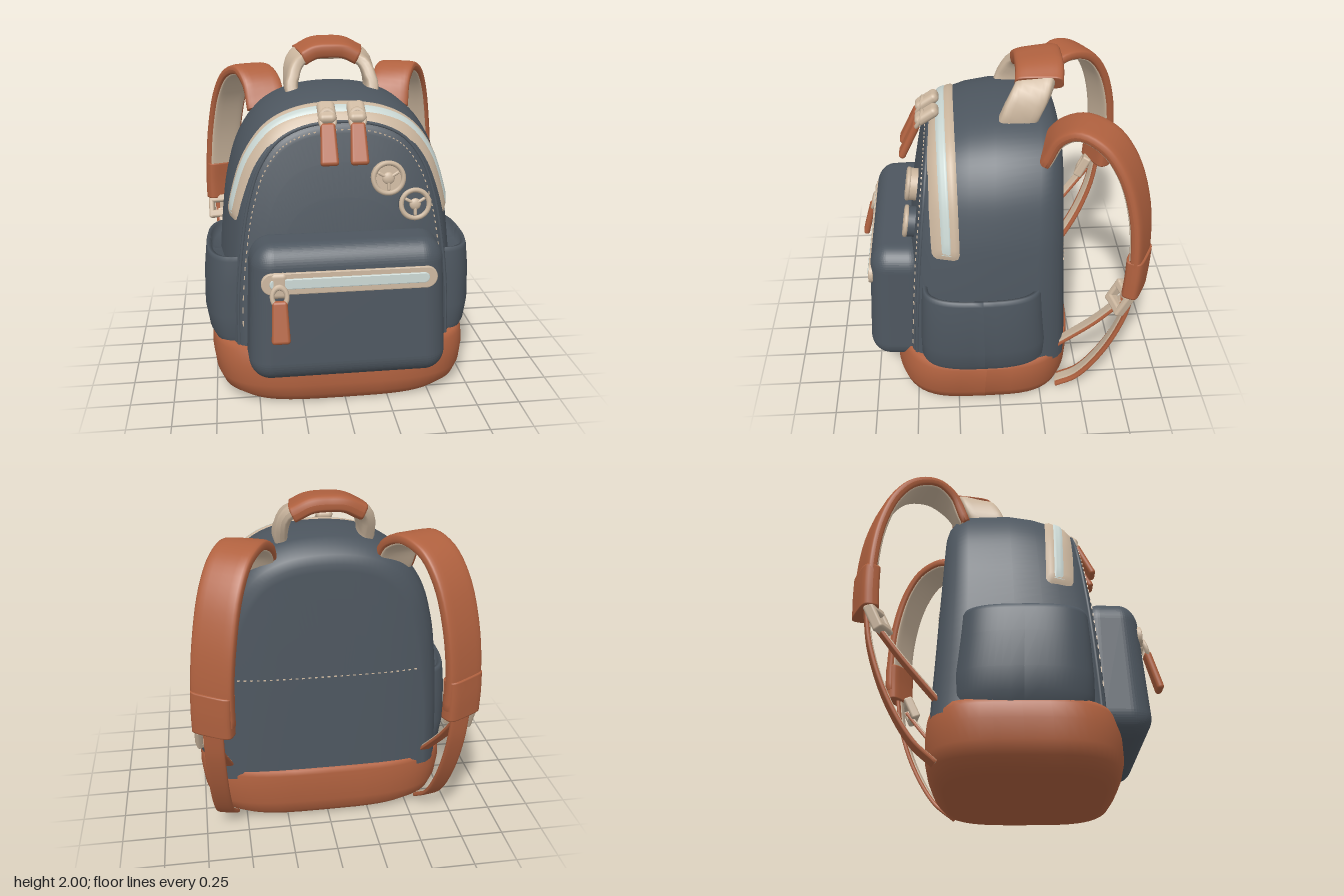
import * as THREE from 'three';
import { mergeGeometries } from 'three/addons/utils/BufferGeometryUtils.js';
import { RoundedBoxGeometry } from 'three/addons/geometries/RoundedBoxGeometry.js';

const V3 = (x, y, z) => new THREE.Vector3(x, y, z);
const mat = (name, color) => Object.assign(new THREE.MeshStandardMaterial({ color, side: THREE.DoubleSide }), { name });
const { lerp, clamp } = THREE.MathUtils;

// Smooth surface from a function fn(u, v) -> Vector3 on a regular grid
function grid(nu, nv, fn) {
  const pos = [], idx = [];
  for (let j = 0; j <= nv; j++) for (let i = 0; i <= nu; i++) pos.push(...fn(i / nu, j / nv).toArray());
  for (let j = 0; j < nv; j++) for (let i = 0; i < nu; i++) {
    const a = j * (nu + 1) + i, b = a + nu + 1;
    idx.push(a, a + 1, b, b, a + 1, b + 1);
  }
  const g = new THREE.BufferGeometry();
  g.setAttribute('position', new THREE.Float32BufferAttribute(pos, 3));
  g.setIndex(idx);
  g.computeVertexNormals();
  return g;
}

// Point on a superellipse, angle given in turns
function superPoint(t, n) {
  const a = t * Math.PI * 2, f = (c) => Math.sign(c) * Math.abs(c) ** (2 / n);
  return [f(Math.cos(a)), f(Math.sin(a))];
}

// Stack of horizontal rings [y, x centre, x half, z back, z front]
function rings(list, n) {
  return grid(64, list.length - 1, (u, v) => {
    const [y, cx, hx, zb, zf] = list[Math.round(v * (list.length - 1))];
    const [a, b] = superPoint(-u, n);
    return V3(cx + a * hx, y, (zb + zf) / 2 + b * (zf - zb) / 2);
  });
}

// Padded band swept along a path; its width direction turns from side to sideEnd
function ribbon(points, side, width, thick, offset = 0, sideEnd = side) {
  const path = new THREE.CatmullRomCurve3(points.map((p) => V3(...p)));
  const steps = 32;
  return grid(24, steps + 4, (u, v) => {
    const j = Math.round(v * (steps + 4));
    const k = j === 0 || j === steps + 4 ? 0 : j === 1 || j === steps + 3 ? 0.9 : 1;
    const t = clamp((j - 2) / steps, 0, 1);
    const T = path.getTangent(t);
    const dir = V3(...side).lerp(V3(...sideEnd), Math.min(1, t * 2.5));
    const W = dir.addScaledVector(T, -dir.dot(T)).normalize();
    const N = T.clone().cross(W);
    const [a, b] = superPoint(u, 4);
    return path.getPoint(t).addScaledVector(W, a * width / 2 * k).addScaledVector(N, offset + b * thick / 2 * k);
  });
}

// Body: arch outline, inset by a rounded profile from back (s = 0) to front (s = 1)
const half = [[0.71, 0.3], [0.7, 0.7], [0.675, 1], [0.64, 1.22], [0.57, 1.44], [0.44, 1.62], [0.25, 1.72]];
const arch = new THREE.SplineCurve([...half, [0, 1.75], ...half.map(([x, y]) => [-x, y]).reverse()]
  .map(([x, y]) => new THREE.Vector2(x, y)));
const inset = [[0, 0.13], [0.02, 0.08], [0.07, 0.035], [0.16, 0.005], [0.5, 0], [0.7, 0.022], [0.82, 0.05], [0.92, 0.085], [0.97, 0.115], [1, 0.155]];
const zBack = (x, y) => -0.44 + 0.05 * y + 0.06 * (x / 0.65) ** 4;
const zFront = (x, y) => 0.58 - 0.075 * y * y - 0.085 * (x / 0.65) ** 4;
function insetAt(s) {
  const i = Math.max(1, inset.findIndex((p) => p[0] >= s));
  const [a, b] = [inset[i - 1], inset[i]];
  return lerp(a[1], b[1], (s - a[0]) / (b[0] - a[0]));
}
function bodyPoint(u, s, lift = 0, k = 1) {
  const p = arch.getPoint(u), t = arch.getTangent(u);
  const d = lift - insetAt(s) * lerp(0.75, 1, clamp((p.y - 0.6) / 1.1, 0, 1));
  const x = (p.x + t.y * d) * k, y = 0.3 + (p.y - t.x * d - 0.3) * k;
  return V3(x, y, lerp(zBack(x, y), zFront(x, y), s));
}

export function createModel() {
  const model = new THREE.Group();
  model.name = 'backpack';
  const navy = mat('navy fabric', 0x4d565f), tan = mat('tan leather', 0xb0613f);
  const cream = mat('cream trim', 0xcbb69e), pale = mat('pale zip teeth', 0xc9d6d2);
  const add = (name, geo, material, parent = model) => {
    const m = new THREE.Mesh(geo, material);
    m.name = name;
    parent.add(m);
    return m;
  };

  // Main bag with closed front and back panels
  const cap = [0, 0.25, 0.5, 0.7, 0.85, 0.97];
  const levels = [...cap.map((k) => [0, k]), ...inset.map(([s]) => [s, 1]), ...cap.map((k) => [1, k]).reverse()];
  add('body', grid(80, levels.length - 1, (u, v) => {
    const [s, k] = levels[Math.round(v * (levels.length - 1))];
    return bodyPoint(u, s, 0, k);
  }), navy);
  const edge = Array.from({ length: 41 }, (_, i) => bodyPoint(i / 40, 0.985));
  add('frontPiping', new THREE.TubeGeometry(new THREE.CatmullRomCurve3(edge), 80, 0.01, 8), navy);

  // Leather base
  add('base', rings([[0, 0, 0, 0.1, 0.1], [0, 0, 0.58, -0.35, 0.54], [0.015, 0, 0.65, -0.39, 0.59], [0.06, 0, 0.72, -0.43, 0.62],
    [0.13, 0, 0.75, -0.445, 0.635], [0.24, 0, 0.765, -0.45, 0.63], [0.32, 0, 0.76, -0.445, 0.61],
    [0.35, 0, 0.745, -0.44, 0.595], [0.355, 0, 0.66, -0.38, 0.52], [0.34, 0, 0, 0.1, 0.1]], 3.6), tan);

  // Arched zip: trim band and teeth laid over the body
  const archBand = (u0, z0, z1, rise, lift) => grid(70, 8, (u, v) => {
    const U = lerp(u0, 1 - u0, u), p = arch.getPoint(U), x = p.x * 0.93, y = p.y - 0.06;
    const end = Math.min(1, 40 * u * (1 - u));
    const s = (lerp(z0, z1, v) - zBack(x, y)) / (zFront(x, y) - zBack(x, y));
    return bodyPoint(U, Math.min(s, 0.99), lerp(rise, lift, Math.min(1, 6 * v * (1 - v)) * end));
  });
  add('archZipTrim', archBand(0.155, 0.22, 0.385, -0.01, 0.016), cream);
  add('archZipTeeth', archBand(0.172, 0.28, 0.33, 0.014, 0.023), pale);

  // Stitching on the front panel and the back seam
  const dashes = [];
  for (let i = 2; i < 78; i++) {
    const p = bodyPoint(i / 80, 1, 0, 0.985), q = bodyPoint((i + 0.4) / 80, 1, 0, 0.985);
    const g = new THREE.BoxGeometry(0.006, p.distanceTo(q), 0.006);
    g.rotateZ(Math.atan2(p.x - q.x, q.y - p.y));
    dashes.push(g.translate(p.x, p.y, p.z + 0.002));
  }
  for (let i = -14; i <= 14; i++)
    dashes.push(new THREE.BoxGeometry(0.016, 0.006, 0.008).translate(i * 0.037, 0.95, zBack(i * 0.037, 0.95)));
  add('stitching', mergeGeometries(dashes), cream);

  // Front pocket, tapered toward its face and its top
  const pocket = new RoundedBoxGeometry(1.12, 0.79, 0.385, 8, 0.125).translate(0, 0.625, 0.5875);
  const pp = pocket.attributes.position;
  for (let i = 0; i < pp.count; i++) {
    const x = pp.getX(i), y = pp.getY(i), z = pp.getZ(i);
    pp.setX(i, x * (1 - 0.08 * (y - 0.4)) * (1 - 0.1 * (z - 0.55)));
    pp.setZ(i, 0.5 + (z - 0.5) * (1 - 0.24 * (y - 0.25)));
  }
  pocket.computeVertexNormals();
  add('frontPocket', pocket, navy);
  const capsule = (len, r, depth) => {
    const s = new THREE.Shape();
    s.absarc(len / 2 - r, 0, r, -Math.PI / 2, Math.PI / 2);
    s.absarc(r - len / 2, 0, r, Math.PI / 2, Math.PI * 1.5);
    return new THREE.ExtrudeGeometry(s, { depth, bevelEnabled: true, bevelSize: 0.006, bevelThickness: 0.006, bevelSegments: 2 })
      .rotateX(-0.066).translate(0, 0.825, 0.73);
  };
  add('pocketZipTrim', capsule(0.95, 0.056, 0.016), cream);
  add('pocketZipTeeth', capsule(0.86, 0.024, 0.022), pale);

  // Zip sliders with leather pulls
  function zipPull(name, x, y, z, tilt, lean, rise) {
    const g = new THREE.Group();
    g.name = name;
    g.position.set(x, y, z);
    const slider = add('slider', new RoundedBoxGeometry(0.1, 0.15, 0.06, 4, 0.028), cream, g);
    slider.position.set(0, rise, -0.045);
    slider.rotation.x = lean;
    const swing = new THREE.Group();
    swing.name = 'pull';
    swing.rotation.x = -tilt;
    g.add(swing);
    add('loop', new THREE.TorusGeometry(0.04, 0.013, 8, 20).scale(1, 1.3, 1), cream, swing);
    const tab = new RoundedBoxGeometry(0.105, 0.235, 0.04, 4, 0.019).translate(0, -0.138, 0);
    const tp = tab.attributes.position;
    for (let i = 0; i < tp.count; i++) tp.setX(i, tp.getX(i) * (0.88 - 0.9 * (tp.getY(i) + 0.138)));
    add('tab', tab, tan, swing);
    model.add(g);
  }
  zipPull('rightArchPull', -0.085, 1.64, 0.425, 0.45, -1.0, 0.03);
  zipPull('leftArchPull', 0.08, 1.64, 0.425, 0.45, -1.0, 0.03);
  zipPull('pocketPull', -0.385, 0.765, 0.775, 0.27, -0.06, 0.05);

  // Round badges
  function badge(name, x, y, r, face) {
    const g = new THREE.Group();
    g.name = name;
    g.position.set(x, y, zFront(x, y) + 0.025);
    g.rotation.x = -0.15;
    add('disc', new THREE.CylinderGeometry(r, r, 0.05, 32).rotateX(Math.PI / 2), face, g);
    add('rim', new THREE.TorusGeometry(r - 0.008, 0.014, 8, 32).translate(0, 0, 0.025), cream, g);
    add('boss', new THREE.SphereGeometry(r * 0.38, 16, 10).scale(1, 1, 0.45).translate(0, 0, 0.025), cream, g);
    for (let i = 0; i < 3; i++)
      add('rib', new RoundedBoxGeometry(0.018, r * 0.6, 0.02, 2, 0.008).translate(0, r * 0.45, 0.026).rotateZ(i * 2.094 + 1.05), cream, g);
    model.add(g);
  }
  badge('upperBadge', 0.245, 1.315, 0.092, cream);
  badge('lowerBadge', 0.395, 1.165, 0.087, navy);

  // Carry handle
  add('handleStrap', ribbon([[0.235, 1.66, -0.1], [0.238, 1.76, -0.14], [0.2, 1.87, -0.2], [0.1, 1.93, -0.24], [0, 1.935, -0.245],
    [-0.1, 1.93, -0.24], [-0.2, 1.87, -0.2], [-0.238, 1.76, -0.14], [-0.235, 1.66, -0.1]], [0, 0.3, -1], 0.205, 0.08), cream);
  add('handleGrip', ribbon([[0.18, 1.895, -0.235], [0.09, 1.938, -0.245], [0, 1.945, -0.245], [-0.09, 1.938, -0.245],
    [-0.18, 1.895, -0.235]], [0, 0.12, -1], 0.265, 0.1), tan);

  // Parts on each side: pocket, shoulder strap, buckle and lower webbing
  const sideParts = new THREE.Group();
  sideParts.name = 'leftSide';
  add('sidePocket', rings([[0.32, 0.6, 0.15, -0.25, 0.44], [0.38, 0.6, 0.18, -0.27, 0.46], [0.5, 0.6, 0.2, -0.27, 0.46],
    [0.7, 0.6, 0.195, -0.25, 0.45], [0.84, 0.6, 0.18, -0.24, 0.44], [0.865, 0.6, 0.172, -0.23, 0.43],
    [0.86, 0.6, 0.15, -0.21, 0.41], [0.8, 0.6, 0.14, -0.2, 0.4], [0.78, 0.6, 0, 0.1, 0.1]], 2.8), navy, sideParts);
  const level = [1, 0, 0], across = [0.88, 0, 0.47];
  const strapPath = [[0.385, 1.58, -0.25], [0.41, 1.72, -0.33], [0.465, 1.785, -0.44], [0.54, 1.745, -0.57],
    [0.6, 1.61, -0.67], [0.645, 1.38, -0.74], [0.67, 1.12, -0.765], [0.67, 0.92, -0.76]];
  add('shoulderStrap', ribbon(strapPath, level, 0.24, 0.065, 0, across), tan, sideParts);
  add('strapLining', ribbon(strapPath, level, 0.205, 0.03, 0.025, across), cream, sideParts);
  add('strapEnd', ribbon([[0.67, 1.1, -0.76], [0.675, 0.98, -0.758], [0.675, 0.86, -0.752]], across, 0.235, 0.1), tan, sideParts);
  // Buckle frame
  const buckle = new THREE.Group();
  buckle.name = 'buckle';
  buckle.position.set(0.7, 0.805, -0.675);
  buckle.rotation.set(-0.45, 0.3, 0);
  for (const s of [-1, 1]) {
    add('buckleSide', new RoundedBoxGeometry(0.035, 0.16, 0.06, 3, 0.014).translate(s * 0.06, 0, 0), cream, buckle);
    add('buckleBar', new RoundedBoxGeometry(0.14, 0.05, 0.06, 3, 0.014).translate(0, s * 0.052, 0), cream, buckle);
  }
  sideParts.add(buckle);
  const webPath = [[0.68, 0.88, -0.75], [0.675, 0.66, -0.715], [0.66, 0.38, -0.615], [0.635, 0.15, -0.475], [0.6, 0.05, -0.36]];
  add('lowerWebbing', ribbon(webPath, [1, 0, 0.2], 0.11, 0.026), tan, sideParts);
  add('webbingLining', ribbon(webPath, [1, 0, 0.2], 0.06, 0.016, 0.012), cream, sideParts);
  const tailPath = [[0.69, 0.78, -0.69], [0.66, 0.6, -0.55], [0.6, 0.37, -0.345]];
  add('webbingTail', ribbon(tailPath, [1, 0, 0.2], 0.075, 0.022), tan, sideParts);
  add('tailLining', ribbon(tailPath, [1, 0, 0.2], 0.06, 0.014, 0.011), cream, sideParts);
  const mirrored = sideParts.clone();
  mirrored.name = 'rightSide';
  mirrored.scale.x = -1;
  model.add(sideParts, mirrored);
  return model;
}
